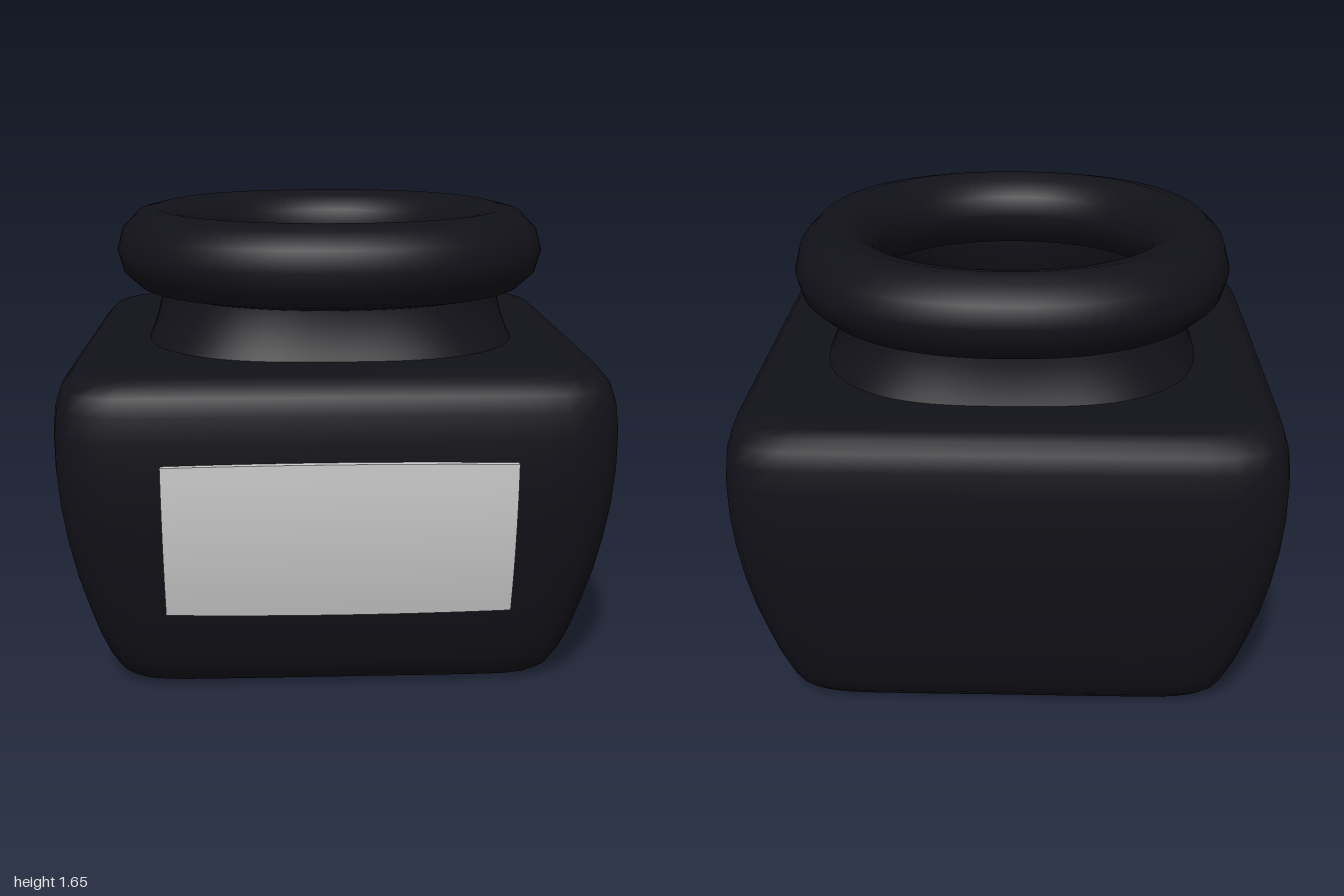
import * as THREE from 'three';

const SEG = 112;
const CENTER_Z = -0.01;

// Loft through rounded-square rings [half width, height, squareness]; 2 is a circle
function loft(rings, closed = false) {
  const pos = [], idx = [];
  for (const [half, y, n] of rings) {
    for (let i = 0; i < SEG; i++) {
      const a = (i / SEG) * Math.PI * 2, c = Math.cos(a), s = Math.sin(a);
      const r = half / Math.pow(Math.abs(c) ** n + Math.abs(s) ** n, 1 / n);
      pos.push(r * c, y, r * s);
    }
  }
  const rows = closed ? rings.length : rings.length - 1;
  for (let j = 0; j < rows; j++) {
    const k = (j + 1) % rings.length;
    for (let i = 0; i < SEG; i++) {
      const i2 = (i + 1) % SEG;
      const a = j * SEG + i, b = j * SEG + i2, c = k * SEG + i, d = k * SEG + i2;
      idx.push(a, c, b, b, c, d);
    }
  }
  const g = new THREE.BufferGeometry();
  g.setAttribute('position', new THREE.Float32BufferAttribute(pos, 3));
  g.setIndex(idx);
  g.computeVertexNormals();
  return g;
}

export function createModel() {
  const group = new THREE.Group();
  const dark = new THREE.MeshStandardMaterial({ color: 0x111118 });
  const darkOpen = new THREE.MeshStandardMaterial({ color: 0x111118, side: THREE.DoubleSide });
  const grey = new THREE.MeshStandardMaterial({ color: 0xcccccc });

  const add = (name, geometry, material) => {
    const mesh = new THREE.Mesh(geometry, material);
    mesh.name = name;
    mesh.position.z = CENTER_Z;
    group.add(mesh);
  };

  // Squarish pot, narrower at the foot, with a nearly flat shoulder
  const profile = [
    [0.001, 0], [0.6, 0], [0.73, 0.002], [0.775, 0.015], [0.81, 0.05], [0.84, 0.11],
    [0.872, 0.2], [0.902, 0.31], [0.932, 0.43], [0.957, 0.56], [0.976, 0.7], [0.985, 0.83],
    [0.985, 0.96], [0.976, 1.05], [0.957, 1.11], [0.925, 1.147], [0.88, 1.163],
    [0.8, 1.17], [0.6, 1.176], [0.3, 1.18], [0.001, 1.18],
  ];
  add('body', loft(profile.map(([half, y]) => [half, y, 11])), dark);

  // Open neck, flaring and growing squarer towards the shoulder
  add('neck', loft([
    [0.7, 1.165, 3], [0.685, 1.2, 2.85], [0.668, 1.25, 2.65],
    [0.655, 1.31, 2.45], [0.65, 1.37, 2.3], [0.65, 1.45, 2.2],
  ]), darkOpen);

  // Thick rolled rim
  const rim = [];
  for (let i = 0; i < 12; i++) {
    const a = (i / 12) * Math.PI * 2, c = Math.cos(a);
    rim.push([0.665 + 0.152 * c, 1.5 + 0.152 * Math.sin(a), 2.19 + 0.12 * c]);
  }
  add('rim', loft(rim, true), dark);

  // Plate bent to follow the front of the pot
  const plate = new THREE.BoxGeometry(1.2, 0.57, 0.03, 12, 10, 1);
  const p = plate.attributes.position;
  for (let i = 0; i < p.count; i++) {
    const u = (p.getX(i) / 0.6) ** 2;
    const y = 0.608 + p.getY(i) * (1 - 0.025 * u);
    const z = 0.995 + p.getZ(i) - 0.25 * (0.89 - y) ** 2 - 0.005 * u;
    p.setXYZ(i, p.getX(i), y, z);
  }
  plate.computeVertexNormals();
  add('labelPlate', plate, grey);

  return group;
}
